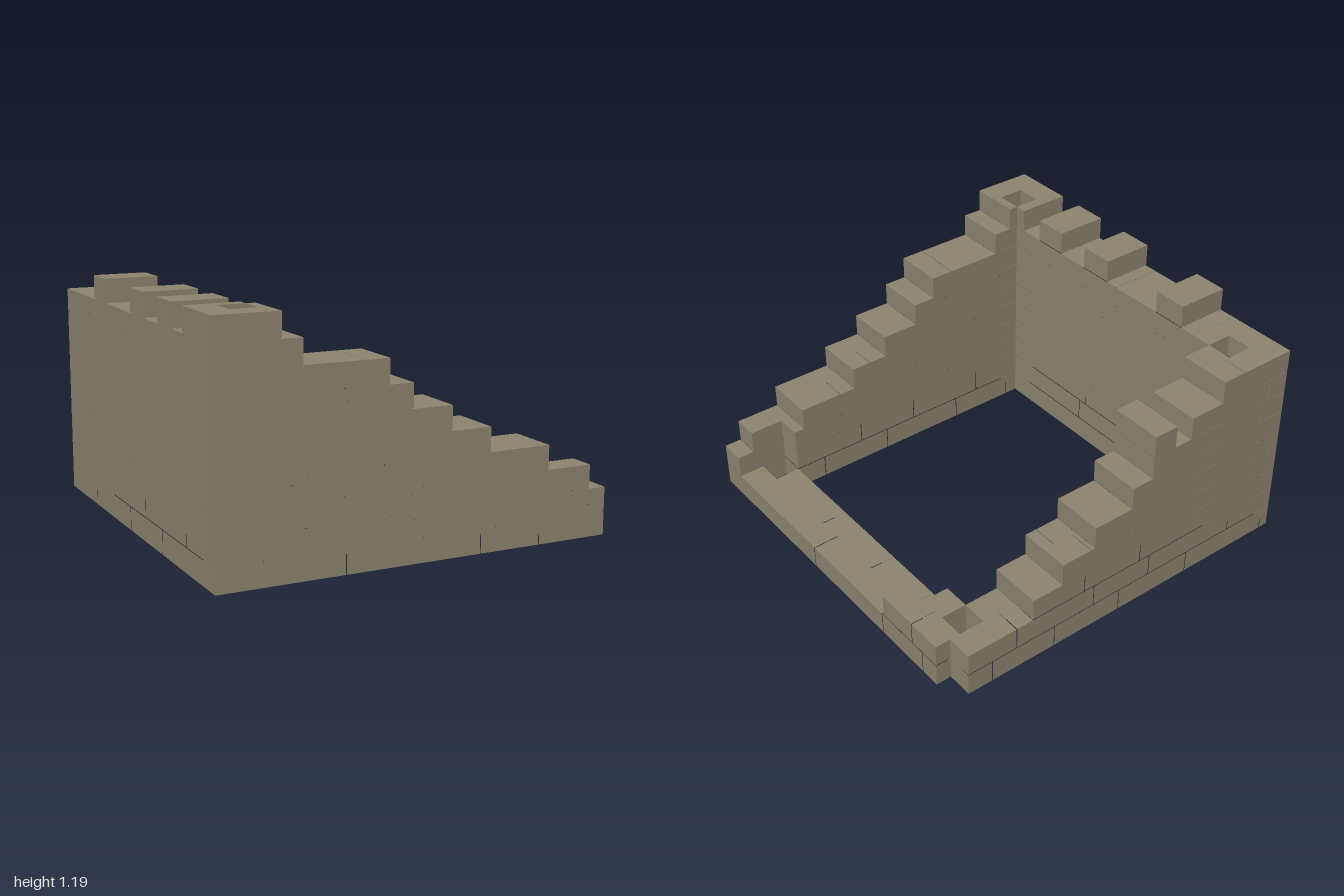
import * as THREE from 'three';

const H = 0.119;        // course height
const T = 0.1345;       // thickness of one brick layer
const C = 1 - T;        // edge between the layers
const I = 1 - 2 * T;    // inner face of the walls
const GAP = 0.002;      // half of a joint

const stone = new THREE.MeshStandardMaterial({ color: 0x8c8570, side: THREE.DoubleSide });
stone.name = 'weatheredStone';

function seeded(seed) {
  return () => (seed = (seed * 16807) % 2147483647) / 2147483647;
}

// remove the intervals in cuts from [a, b]
function subtract([a, b], cuts) {
  let rest = [[a, b]];
  for (const [c, d] of cuts) {
    rest = rest.flatMap(([p, q]) => [[p, Math.min(q, c)], [Math.max(p, d), q]].filter(([m, n]) => n - m > 0.004));
  }
  return rest;
}

const clip = (rows, m) => rows.map((row) => row
  .map(([a, b]) => [Math.max(a, -m), Math.min(b, m)]).filter(([a, b]) => b - a > 0.01));

// each course is a list of intervals along the wall
const stairs = (ends) => ends.map((e) => [[-1, e]]);
const frontRows = stairs([1, 1, 0.91, 0.675, 0.355, 0.15, -0.05, -0.17, -0.585, -0.685]);
const backRows = stairs([0.92, 0.92, 0.55, 0.38, 0.19, -0.03, -0.15, -0.38, -0.57]);
backRows[7].push([-0.28, -0.15]);
const full = Array.from({ length: 9 }, () => [[-1, 1]]);
const merlons = [[-0.54, -0.36], [0, 0.18], [0.36, 0.54]];
const tallRows = [...full, [...merlons, [0.67, 1]]];

// along, height, depth from the outer face -> position
const walls = [
  {
    name: 'frontWall', place: (u, y, d) => [u, y, 1 - d],
    outer: frontRows, inner: clip(frontRows, I),
    outerJoints: [[-0.38, 0.31, 0.63], [-0.35, -0.04, 0.61, 0.91], [-0.05, 0.585], [-0.64, -0.38, 0.24],
      [-0.72, -0.41, -0.16, 0.12], [-0.665], [-0.375], [-0.295], [], []],
  },
  {
    name: 'backWall', place: (u, y, d) => [u, y, d - 1],
    outer: backRows, inner: clip(backRows, I),
  },
  {
    name: 'tallSideWall', place: (u, y, d) => [d - 1, y, u],
    outer: clip(tallRows, C), inner: clip(tallRows, I),
    innerJoints: [[0.3, -0.2], [-0.47, -0.14, 0.17], [-0.425, -0.135, 0.12], [-0.42, -0.17], [-0.465, -0.185],
      [0.12, 0.4], [-0.53, -0.2, 0.095], [0.02, 0.375], [-0.43, -0.07, 0.18, 0.455], []],
  },
  {
    name: 'lowSideWall', place: (u, y, d) => [1 - d, y, u],
    outer: [[[-C, C]], [[-C, -0.45]]], inner: [[[-I, I]], [[-I, -0.59]]],
    outerJoints: [[-0.76, -0.44, 0.15], [-0.68]],
  },
];

// brick joints for courses that have no set pattern
function randomJoints(rnd) {
  const list = [];
  for (let u = -0.95 + rnd() * 0.35; u < 0.95; u += 0.25 + rnd() * 0.35) list.push(u);
  return list;
}

function buildLayer(wall, side, seed) {
  const rnd = seeded(seed);
  const rows = wall[side];
  const other = wall[side === 'outer' ? 'inner' : 'outer'];
  const skin = side === 'outer' ? 0 : 2 * T;
  const pos = [];

  // a rectangle turned away from the middle of its brick
  function quad(corners, middle) {
    const p = corners.map((c) => new THREE.Vector3(...wall.place(...c)));
    const m = new THREE.Vector3(...wall.place(...middle));
    const n = p[1].clone().sub(p[0]).cross(p[2].clone().sub(p[0]));
    const order = n.dot(p[0].clone().sub(m)) > 0 ? [0, 1, 2, 0, 2, 3] : [0, 2, 1, 0, 3, 2];
    for (const i of order) pos.push(p[i].x, p[i].y, p[i].z);
  }

  rows.forEach((row, r) => {
    const table = wall[side + 'Joints'];
    const joints = table ? table[r] : randomJoints(rnd);
    const y0 = r * H + (r ? GAP : 0), y1 = (r + 1) * H - GAP;
    const upright = (a, b, d, mid) => quad([[a, y0, d], [b, y0, d], [b, y1, d], [a, y1, d]], mid);

    for (const [start, end] of row) {
      const cuts = [start, ...joints.filter((j) => j > start + 0.04 && j < end - 0.04), end];
      for (let i = 0; i + 1 < cuts.length; i++) {
        const a = cuts[i] + (i ? GAP : 0);
        const b = cuts[i + 1] - (i + 2 < cuts.length ? GAP : 0);
        const d0 = side === 'outer' ? 0 : T, d1 = d0 + T;
        const mid = [(a + b) / 2, (y0 + y1) / 2, d0 + T / 2];
        // face of the wall
        upright(a, b, skin, mid);
        // face towards the other layer, only where that layer is missing
        for (const [p, q] of subtract([a, b], other[r] || [])) upright(p, q, T, mid);
        // open tops
        for (const [p, q] of subtract([a, b], rows[r + 1] || [])) {
          quad([[p, y1, d0], [q, y1, d0], [q, y1, d1], [p, y1, d1]], mid);
        }
        // ends of the run
        const ends = [];
        if (i === 0) ends.push(a);
        if (i + 2 === cuts.length) ends.push(b);
        for (const e of ends) quad([[e, y0, d0], [e, y0, d1], [e, y1, d1], [e, y1, d0]], mid);
      }
    }
  });

  const geometry = new THREE.BufferGeometry();
  geometry.setAttribute('position', new THREE.Float32BufferAttribute(pos, 3));
  geometry.computeVertexNormals();
  const mesh = new THREE.Mesh(geometry, stone);
  mesh.name = side + 'Bricks';
  return mesh;
}

export function createModel() {
  const model = new THREE.Group();
  model.name = 'ruinedBrickWalls';
  walls.forEach((wall, i) => {
    const group = new THREE.Group();
    group.name = wall.name;
    group.add(buildLayer(wall, 'outer', 101 + i * 977), buildLayer(wall, 'inner', 5003 + i * 1319));
    model.add(group);
  });
  return model;
}
